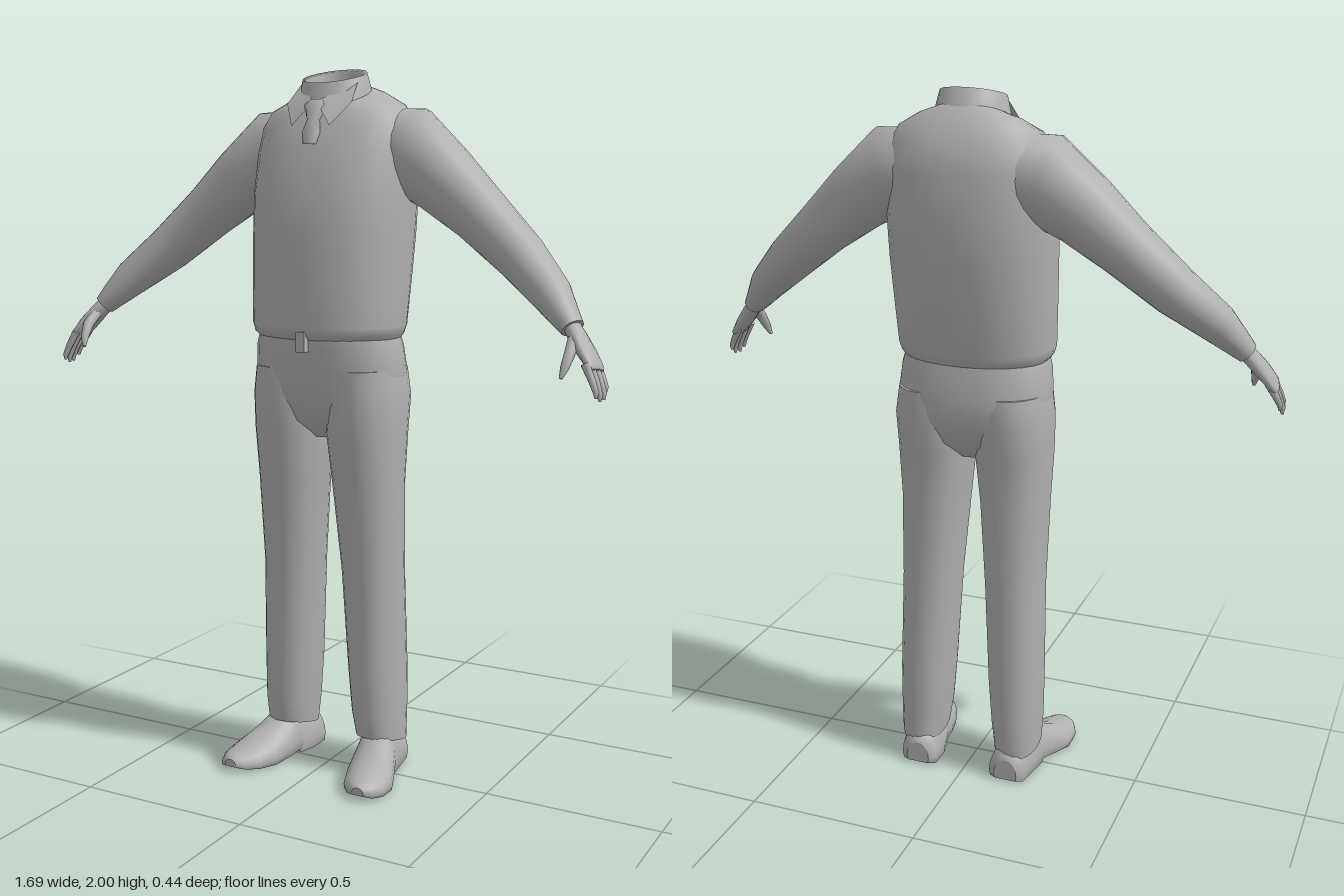
import * as THREE from 'three';

const cloth = new THREE.MeshStandardMaterial({ color: 0xb0b0b0, side: THREE.DoubleSide });
cloth.name = 'plain grey';

const V = (x, y, z) => new THREE.Vector3(x, y, z);

// Skin a list of equal-length rings; optionally close the ends with fans.
function loft(rings, capStart = true, capEnd = true) {
  const n = rings[0].length, pos = [], idx = [];
  rings.forEach(r => r.forEach(p => pos.push(p.x, p.y, p.z)));
  for (let s = 0; s < rings.length - 1; s++) {
    for (let i = 0; i < n; i++) {
      const a = s * n + i, b = s * n + (i + 1) % n;
      idx.push(a, a + n, b, b, a + n, b + n);
    }
  }
  const cap = (ring, flip) => {
    const base = pos.length / 3, c = V(0, 0, 0);
    ring.forEach(p => { c.addScaledVector(p, 1 / n); pos.push(p.x, p.y, p.z); });
    pos.push(c.x, c.y, c.z);
    for (let i = 0; i < n; i++) {
      const a = base + i, b = base + (i + 1) % n;
      idx.push(...(flip ? [a, base + n, b] : [a, b, base + n]));
    }
  };
  if (capStart) cap(rings[0], false);
  if (capEnd) cap(rings[rings.length - 1], true);
  const g = new THREE.BufferGeometry();
  g.setAttribute('position', new THREE.Float32BufferAttribute(pos, 3));
  g.setIndex(idx);
  g.computeVertexNormals();
  return g;
}

// Horizontal rounded ring: centre x, half width, front z, back z, front and back height.
function level(cx, rx, zf, zb, yf, yb = yf, power = 2, n = 28) {
  const sp = v => Math.sign(v) * Math.pow(Math.abs(v), 2 / power);
  return Array.from({ length: n }, (_, i) => {
    const a = i / n * Math.PI * 2, s = sp(Math.sin(a));
    return V(cx + rx * sp(Math.cos(a)), yb + (yf - yb) * (s + 1) / 2,
      (zf + zb) / 2 + (zf - zb) / 2 * s);
  });
}

// Limb along a path of [x, y, z, radius along z, radius across].
function limb(path, n = 14) {
  const pts = path.map(p => V(p[0], p[1], p[2]));
  return loft(path.map((p, k) => {
    const t = pts[Math.min(k + 1, pts.length - 1)].clone().sub(pts[Math.max(k - 1, 0)]).normalize();
    const u = V(0, 0, 1).addScaledVector(t, -t.z).normalize();
    const v = u.clone().cross(t);
    return Array.from({ length: n }, (_, i) => {
      const a = i / n * Math.PI * 2;
      return pts[k].clone().addScaledVector(u, p[3] * Math.cos(a)).addScaledVector(v, p[4] * Math.sin(a));
    });
  }));
}

// Front-to-back ring of a shoe with a flat sole: z, centre x, half width, sole y, top y.
function shoeRing([z, cx, w, yb, yt], n = 20) {
  return Array.from({ length: n }, (_, i) => {
    const a = i / n * Math.PI * 2, c = Math.cos(a);
    const y = yb + (yt - yb) * Math.max(0, 0.25 + 0.75 * c);
    return V(cx + w * Math.sin(a), y, z);
  });
}

function mirrored(geo) {
  const g = geo.clone(), p = g.attributes.position, ix = g.index;
  for (let i = 0; i < p.count; i++) p.setX(i, -p.getX(i));
  for (let i = 0; i < ix.count; i += 3) {
    const b = ix.getX(i + 1);
    ix.setX(i + 1, ix.getX(i + 2));
    ix.setX(i + 2, b);
  }
  g.computeVertexNormals();
  return g;
}

export function createModel() {
  const model = new THREE.Group();
  model.name = 'headlessClothedFigure';
  const add = (name, geo) => {
    const m = new THREE.Mesh(geo, cloth);
    m.name = name;
    model.add(m);
    return m;
  };
  const pair = (name, geo) => {
    add(name + 'Left', geo);
    add(name + 'Right', mirrored(geo));
  };

  // Jacket body, open at the neck
  add('jacket', loft([
    [0.195, 0.14, -0.14, 1.255, 1.255], [0.215, 0.163, -0.155, 1.275, 1.275],
    [0.222, 0.17, -0.165, 1.3, 1.3], [0.226, 0.17, -0.19, 1.42, 1.42],
    [0.23, 0.165, -0.213, 1.55, 1.55], [0.232, 0.155, -0.223, 1.66, 1.66],
    [0.23, 0.122, -0.221, 1.77, 1.79], [0.222, 0.095, -0.2, 1.83, 1.86],
    [0.195, 0.075, -0.17, 1.87, 1.91], [0.14, 0.062, -0.14, 1.89, 1.945],
    [0.092, 0.052, -0.12, 1.9, 1.96],
  ].map(([rx, zf, zb, yf, yb]) => level(0, rx, zf, zb, yf, yb, 2.3)), true, false));

  // Standing collar with an inner wall
  add('collar', loft([
    [0.105, 0.072, -0.135, 1.885, 1.94], [0.09, 0.058, -0.112, 1.955, 2.0],
    [0.08, 0.05, -0.102, 1.95, 1.99], [0.076, 0.045, -0.1, 1.85, 1.9],
    [0.072, 0.035, -0.1, 1.7, 1.7],
  ].map(([rx, zf, zb, yf, yb]) => level(0, rx, zf, zb, yf, yb)), false, true));

  // Folded collar points
  const flap = new THREE.BufferGeometry();
  flap.setAttribute('position', new THREE.Float32BufferAttribute([
    0.005, 1.905, 0.085, 0.058, 1.838, 0.112, 0.1, 1.9, 0.062, 0.088, 1.955, 0.005], 3));
  flap.setIndex([0, 1, 2, 0, 2, 3]);
  flap.computeVertexNormals();
  pair('collarPoint', flap);

  // Tie knot and short tail
  add('tie', loft([
    level(0, 0.018, 0.13, 0.09, 1.79, 1.79, 3, 12), level(0, 0.024, 0.128, 0.08, 1.82, 1.82, 3, 12),
    level(0, 0.014, 0.115, 0.07, 1.855, 1.855, 3, 12), level(0, 0.03, 0.105, 0.05, 1.895, 1.895, 3, 12),
    level(0, 0.02, 0.085, 0.04, 1.91, 1.91, 3, 12),
  ]));

  // Belt buckle
  const buckle = add('buckle', new THREE.BoxGeometry(0.028, 0.055, 0.03));
  buckle.position.set(0, 1.26, 0.158);

  // Trouser seat
  add('trouserSeat', loft([
    [0.06, 0.05, -0.07, 0.98], [0.15, 0.105, -0.125, 1.03], [0.215, 0.13, -0.158, 1.1],
    [0.219, 0.142, -0.163, 1.17], [0.212, 0.15, -0.152, 1.24], [0.2, 0.15, -0.145, 1.28],
  ].map(([rx, zf, zb, y]) => level(0, rx, zf, zb, y, y, 2.4))));

  // Trouser legs: centre x, half width, front z, back z, height
  pair('trouserLeg', loft([
    [0.148, 0.066, 0.045, -0.132, 0.11, 0.07], [0.144, 0.073, 0.058, -0.136, 0.18, 0.16],
    [0.139, 0.079, 0.062, -0.136, 0.3, 0.3], [0.128, 0.086, 0.072, -0.122, 0.6, 0.6],
    [0.12, 0.098, 0.1, -0.119, 0.85, 0.85], [0.116, 0.108, 0.122, -0.136, 1.0, 1.0],
    [0.114, 0.112, 0.13, -0.155, 1.1, 1.1], [0.11, 0.105, 0.13, -0.15, 1.18, 1.18],
  ].map(([cx, rx, zf, zb, yf, yb]) => level(cx, rx, zf, zb, yf, yb, 2.2, 22))));

  // Shoes, toes turned out
  pair('shoe', loft([
    [-0.14, 0.14, 0.035, 0.005, 0.07], [-0.125, 0.14, 0.055, 0, 0.1], [-0.06, 0.145, 0.062, 0, 0.13],
    [-0.01, 0.155, 0.06, 0, 0.14], [0.0, 0.157, 0.06, 0.012, 0.14], [0.05, 0.17, 0.068, 0.006, 0.105],
    [0.11, 0.188, 0.074, 0, 0.075], [0.17, 0.2, 0.063, 0.004, 0.058],
    [0.205, 0.206, 0.042, 0.01, 0.05], [0.222, 0.208, 0.018, 0.018, 0.04],
  ].map(r => shoeRing(r))));

  // Sleeves, bent slightly forward
  pair('sleeve', limb([
    [0.1, 1.79, -0.08, 0.09, 0.1], [0.21, 1.775, -0.072, 0.11, 0.12],
    [0.32, 1.695, -0.06, 0.095, 0.098], [0.43, 1.605, -0.05, 0.082, 0.08],
    [0.56, 1.495, -0.025, 0.073, 0.067], [0.665, 1.405, 0.028, 0.058, 0.053],
    [0.71, 1.355, 0.055, 0.045, 0.039], [0.738, 1.325, 0.068, 0.036, 0.03],
  ], 20));

  // Palms
  pair('palm', limb([
    [0.725, 1.34, 0.06, 0.026, 0.022], [0.752, 1.308, 0.074, 0.034, 0.022],
    [0.783, 1.27, 0.09, 0.043, 0.02], [0.81, 1.235, 0.1, 0.042, 0.015],
    [0.817, 1.225, 0.103, 0.034, 0.009],
  ]));

  // Four fingers
  for (let i = 0; i < 4; i++) {
    const z = 0.07 + i * 0.022, x = 0.81 - Math.abs(i - 1) * 0.003;
    const drop = [0.062, 0.078, 0.08, 0.07][i];
    pair('finger' + (i + 1), limb([
      [x - 0.008, 1.245, z, 0.011, 0.012], [x + 0.014, 1.232 - drop * 0.4, z + 0.006, 0.01, 0.01],
      [x + 0.026, 1.232 - drop * 0.8, z + 0.01, 0.008, 0.008], [x + 0.026, 1.232 - drop, z + 0.01, 0.004, 0.004],
    ], 8));
  }

  // Thumbs
  pair('thumb', limb([
    [0.75, 1.305, 0.09, 0.016, 0.016], [0.754, 1.27, 0.13, 0.016, 0.015],
    [0.75, 1.235, 0.153, 0.012, 0.012], [0.744, 1.208, 0.165, 0.005, 0.005],
  ], 8));

  return model;
}
